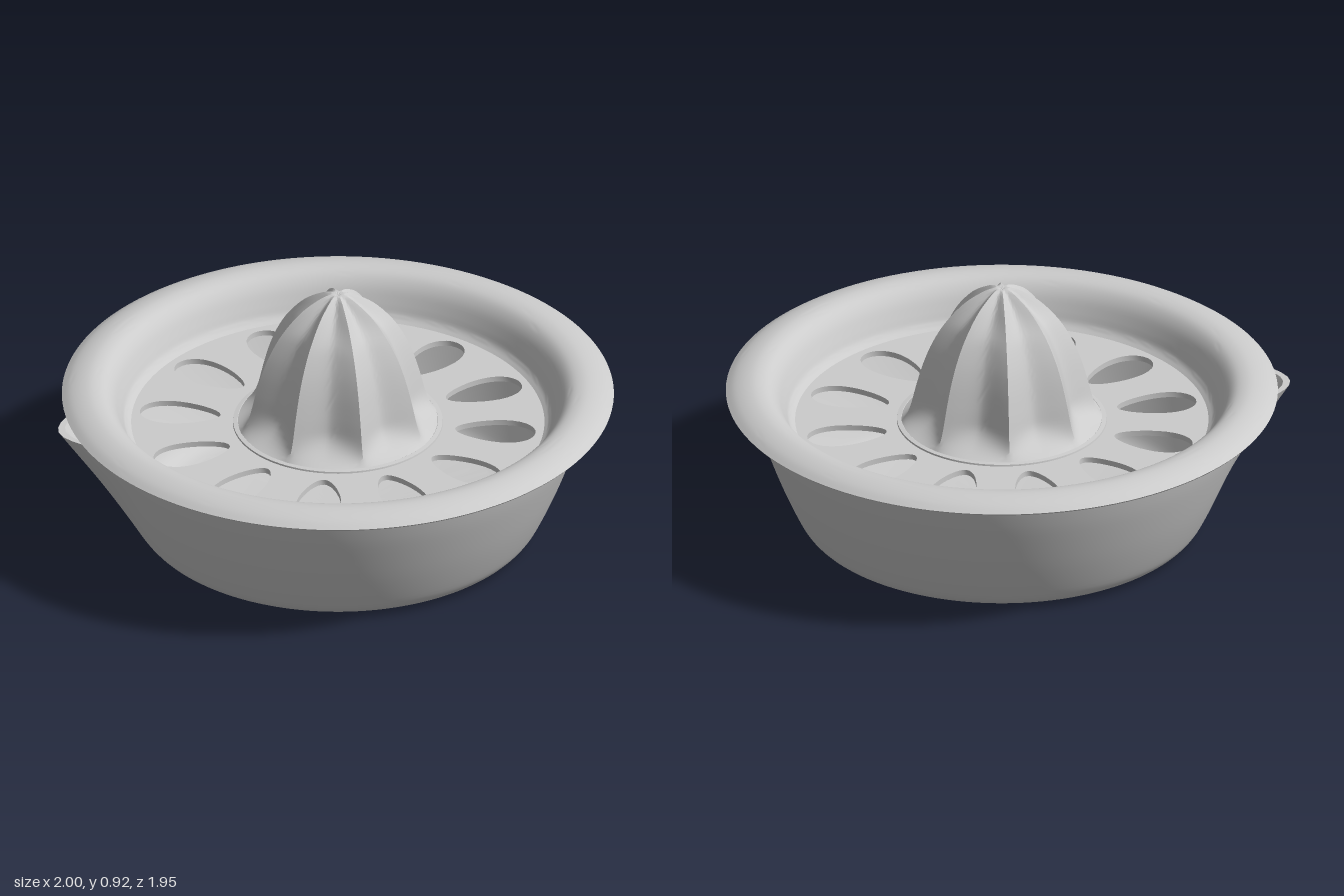
import * as THREE from 'three';
import { toCreasedNormals } from 'three/addons/utils/BufferGeometryUtils.js';

const material = new THREE.MeshStandardMaterial({ color: 0xcccccc, side: THREE.DoubleSide });
const vectors = (points) => points.map(([x, y]) => new THREE.Vector2(x, y));
const smooth = (points, n) => new THREE.SplineCurve(vectors(points)).getPoints(n);

function part(name, geometry) {
  const mesh = new THREE.Mesh(geometry, material);
  mesh.name = name;
  return mesh;
}

// Turned bowl with wall thickness, pulled outwards at -x into a pouring spout
function bowlGeometry() {
  const wall = [[0.63, 0], [0.67, 0.01], [0.705, 0.035], [0.735, 0.085],
    [0.79, 0.21], [0.845, 0.36], [0.872, 0.45], [0.886, 0.51]];
  const inner = wall.map(([r, y]) => [r - 0.025, Math.max(y, 0.025 + y * 0.951)]).reverse();
  const profile = [new THREE.Vector2(0, 0), ...smooth(wall, 28), ...smooth(inner, 28), new THREE.Vector2(0, 0.025)];
  const geometry = new THREE.LatheGeometry(profile, 180);
  const p = geometry.attributes.position;
  for (let i = 0; i < p.count; i++) {
    const x = p.getX(i), y = p.getY(i), z = p.getZ(i);
    const r = Math.hypot(x, z);
    if (r < 0.5) continue;
    const angle = Math.atan2(z, -x);
    const bump = 0.136 * Math.pow(Math.max(y, 0) / 0.51, 1.8) * Math.exp(-(angle * angle) / (2 * 0.11 * 0.11));
    p.setX(i, x * (1 + bump / r));
    p.setZ(i, z * (1 + bump / r));
  }
  return toCreasedNormals(geometry, 0.7);
}

// Rolled rim of the strainer: underside outwards, then back over the top
function rimGeometry() {
  const under = [[0.73, 0.38], [0.755, 0.385], [0.775, 0.42], [0.8, 0.48], [0.83, 0.518], [0.87, 0.528], [0.92, 0.522], [0.97, 0.509]];
  const over = [[0.975, 0.515], [0.945, 0.534], [0.905, 0.547], [0.865, 0.55], [0.825, 0.538], [0.793, 0.505],
    [0.768, 0.455], [0.752, 0.42], [0.73, 0.4]];
  return toCreasedNormals(new THREE.LatheGeometry([...smooth(under, 24), ...smooth(over, 32)], 128), 0.7);
}

// Flat strainer floor with twelve egg-shaped holes around the middle
function floorGeometry() {
  const shape = new THREE.Shape().absarc(0, 0, 0.74, 0, Math.PI * 2, false);
  shape.holes.push(new THREE.Path().absarc(0, 0, 0.35, 0, Math.PI * 2, true));
  for (let k = 0; k < 12; k++) {
    const a = THREE.MathUtils.degToRad(8 + 30 * k);
    const outline = [];
    for (let i = 0; i < 32; i++) {
      const t = -i / 32 * Math.PI * 2;
      const r = 0.56 + 0.143 * Math.cos(t);
      const w = 0.077 * Math.sin(t) * (1 + 0.28 * Math.cos(t));
      outline.push([r * Math.cos(a) - w * Math.sin(a), r * Math.sin(a) + w * Math.cos(a)]);
    }
    shape.holes.push(new THREE.Path(vectors(outline)));
  }
  const geometry = new THREE.ExtrudeGeometry(shape, { depth: 0.02, bevelEnabled: false, curveSegments: 64 });
  geometry.rotateX(-Math.PI / 2).translate(0, 0.38, 0);
  return toCreasedNormals(geometry, 0.7);
}

// Reamer dome: eight sharp ridges with hollow flutes, flaring to a round foot
function reamerGeometry() {
  const rings = smooth([[0.345, 0.405], [0.33, 0.44], [0.315, 0.5], [0.3, 0.56], [0.276, 0.64], [0.245, 0.715],
    [0.2, 0.79], [0.135, 0.862], [0.07, 0.905], [0.03, 0.92], [0.008, 0.917]], 44);
  const perFlute = 20, n = 8 * perFlute;
  const position = [], index = [];
  rings.forEach(({ x: R, y }, j) => {
    const foot = Math.pow(THREE.MathUtils.clamp((0.5 - y) / 0.095, 0, 1), 2.2);
    const top = THREE.MathUtils.smoothstep(y, 0.78, 0.92);
    const depth = (0.19 + 0.2 * top) * (1 - foot);
    for (let i = 0; i < n; i++) {
      const u = Math.abs((i % perFlute) / perFlute * 2 - 1); // 1 on a ridge, 0 in a flute
      const r = (R + 0.012 * foot) * (1 - depth * (1 - Math.pow(u, 1.7)));
      const a = i / n * Math.PI * 2;
      position.push(r * Math.sin(a), y, r * Math.cos(a));
      if (j === rings.length - 1) continue;
      const next = (i + 1) % n, b = j * n;
      index.push(b + i, b + next, b + n + next, b + i, b + n + next, b + n + i);
    }
  });
  // Close the tip
  const tip = position.length / 3, last = (rings.length - 1) * n;
  position.push(0, 0.912, 0);
  for (let i = 0; i < n; i++) index.push(last + i, last + (i + 1) % n, tip);
  const geometry = new THREE.BufferGeometry();
  geometry.setAttribute('position', new THREE.Float32BufferAttribute(position, 3));
  geometry.setIndex(index);
  return toCreasedNormals(geometry, 0.75);
}

export function createModel() {
  const model = new THREE.Group();
  model.name = 'citrusJuicer';

  const strainer = new THREE.Group();
  strainer.name = 'strainer';
  // Low collar around the foot of the reamer
  const collar = new THREE.LatheGeometry(vectors([[0.372, 0.395], [0.37, 0.406], [0.354, 0.408], [0.345, 0.402]]), 96);
  strainer.add(
    part('rim', rimGeometry()),
    part('strainerFloor', floorGeometry()),
    part('collar', toCreasedNormals(collar, 0.7)),
    part('reamer', reamerGeometry()),
  );

  model.add(part('bowl', bowlGeometry()), strainer);
  // The spout reaches past the rim, so the round parts sit slightly off centre
  model.children.forEach((child) => { child.position.x = 0.022; });
  return model;
}
